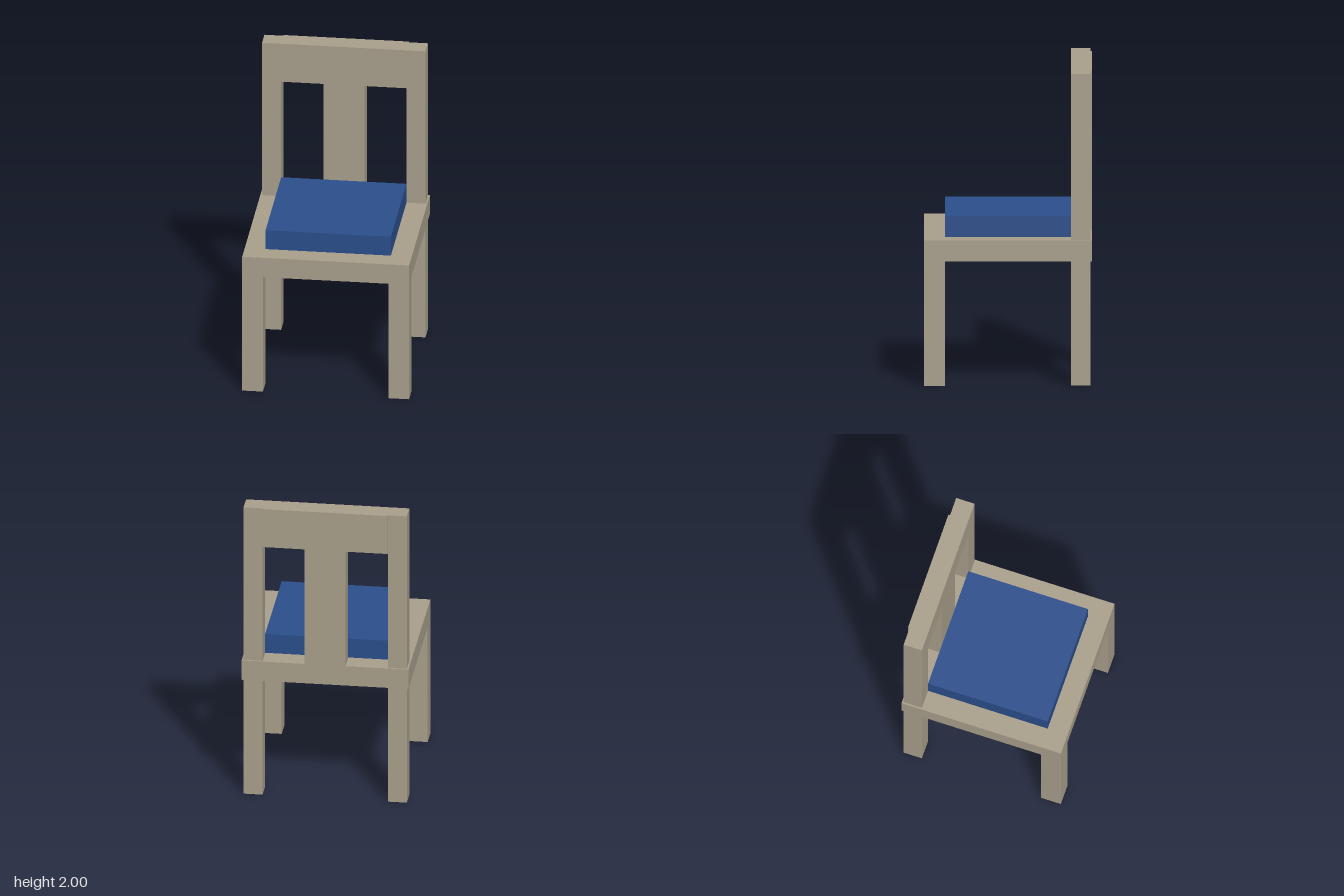
import * as THREE from 'three';

const wood = new THREE.MeshStandardMaterial({ color: 0xa9a08c, side: THREE.DoubleSide });
wood.name = 'wood';
const fabric = new THREE.MeshStandardMaterial({ color: 0x2b4e8c });
fabric.name = 'blue fabric';

// Box given by its min and max on each axis
function block(name, [x0, x1], [y0, y1], [z0, z1], material, openBottom = false) {
  const geo = new THREE.BoxGeometry(x1 - x0, y1 - y0, z1 - z0);
  if (openBottom) {
    // drop the -y face, leaving a hollow foot
    const index = Array.from(geo.index.array);
    index.splice(18, 6);
    geo.setIndex(index);
    geo.clearGroups();
  }
  const mesh = new THREE.Mesh(geo, material);
  mesh.name = name;
  mesh.position.set((x0 + x1) / 2, (y0 + y1) / 2, (z0 + z1) / 2);
  return mesh;
}

export function createModel() {
  const chair = new THREE.Group();
  chair.name = 'chair';

  const edge = 0.533; // outer edge of the seat
  const inner = 0.4; // inner face of legs, edge of cushion
  const seatBottom = 0.8;
  const seatTop = 0.935;
  const railBottom = 1.735;

  // Seat and cushion
  chair.add(block('seat', [-edge, edge], [seatBottom, seatTop], [-edge, edge], wood));
  chair.add(block('cushion', [-inner, inner], [seatTop, 1.067], [-inner, inner], fabric));

  // Front legs, and back legs that run up as posts
  for (const [side, s] of [['left', 1], ['right', -1]]) {
    const span = (outer) => (s > 0 ? [inner, outer] : [-outer, -inner]);
    chair.add(block(side + 'FrontLeg', span(edge), [0, seatBottom], [inner, edge], wood, true));
    chair.add(block(side + 'BackPost', span(0.522), [0, 2], [-0.522, -inner], wood, true));
  }

  // Backrest: top rail and central splat, slightly proud of the posts behind
  chair.add(block('topRail', [-inner, inner], [railBottom, 2], [-edge, -inner], wood));
  chair.add(block('backSplat', [-0.131, 0.131], [seatTop, railBottom], [-edge, -inner], wood));

  return chair;
}
